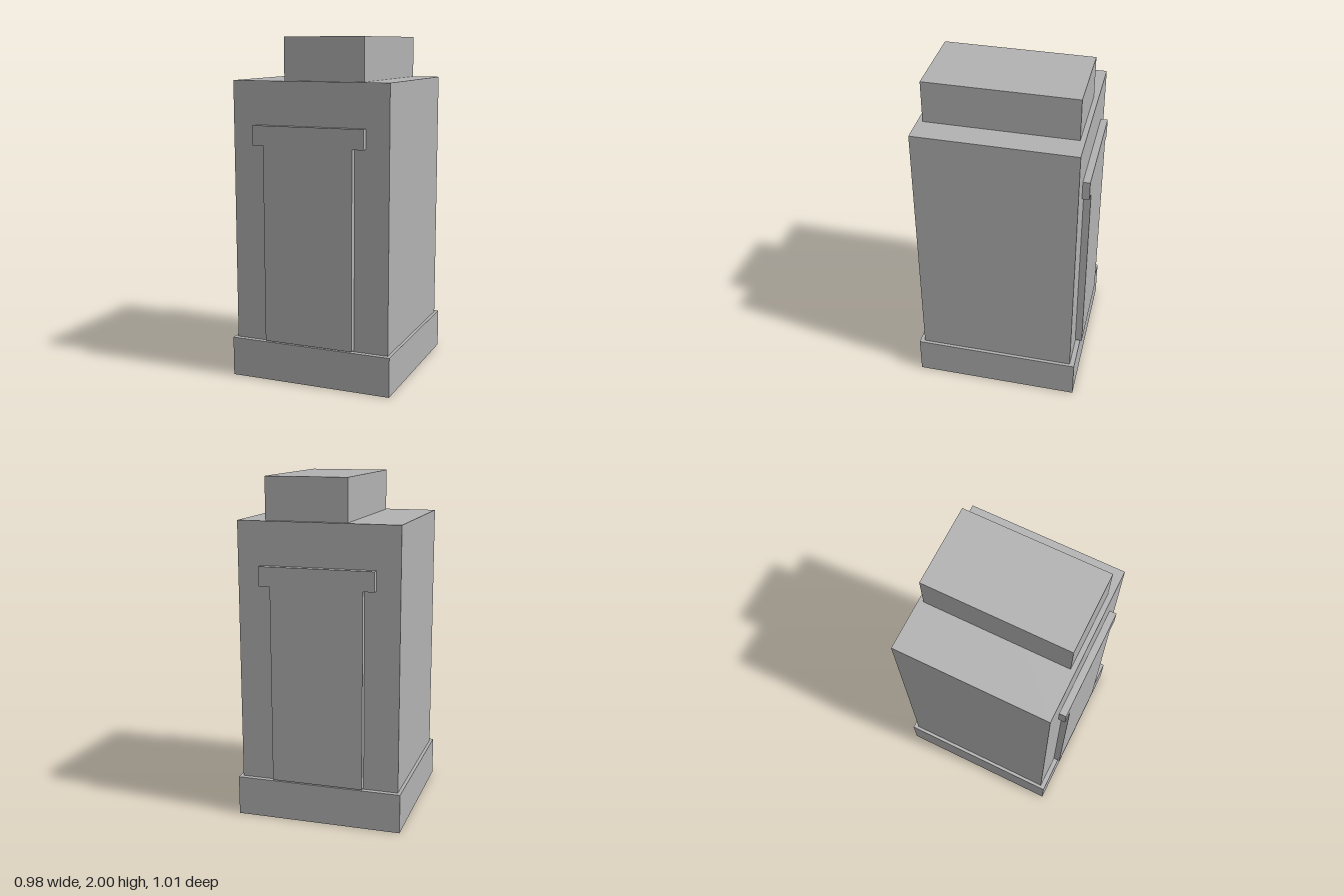
import * as THREE from 'three';

export function createModel() {
  const group = new THREE.Group();
  const stone = new THREE.MeshStandardMaterial({ color: 0xb2b2b2 });
  stone.name = 'plain grey';

  // Box given by its centre x, its bottom and top, and its width and depth
  function block(name, x, y0, y1, width, depth) {
    const mesh = new THREE.Mesh(new THREE.BoxGeometry(width, y1 - y0, depth), stone);
    mesh.name = name;
    mesh.position.set(x, (y0 + y1) / 2, 0);
    group.add(mesh);
  }

  // Stacked masses, the top one set off to the left
  block('base', 0, 0, 0.232, 0.984, 0.984);
  block('body', 0, 0.232, 1.755, 0.946, 0.926);
  block('topBlock', 0.075, 1.755, 2, 0.48, 0.868);

  // Door panel with a wider lintel, one T-shaped plate on the front and back
  const outline = new THREE.Shape([
    [-0.27, 0.243], [0.27, 0.243], [0.27, 1.392], [0.336, 1.392],
    [0.336, 1.505], [-0.336, 1.505], [-0.336, 1.392], [-0.27, 1.392],
  ].map(([x, y]) => new THREE.Vector2(x, y)));
  const plate = new THREE.ExtrudeGeometry(outline, { depth: 0.041, bevelEnabled: false });
  plate.translate(0, 0, 0.463);
  for (const [name, turn] of [['frontDoorway', 0], ['backDoorway', Math.PI]]) {
    const mesh = new THREE.Mesh(plate, stone);
    mesh.name = name;
    mesh.rotation.y = turn;
    group.add(mesh);
  }

  return group;
}
